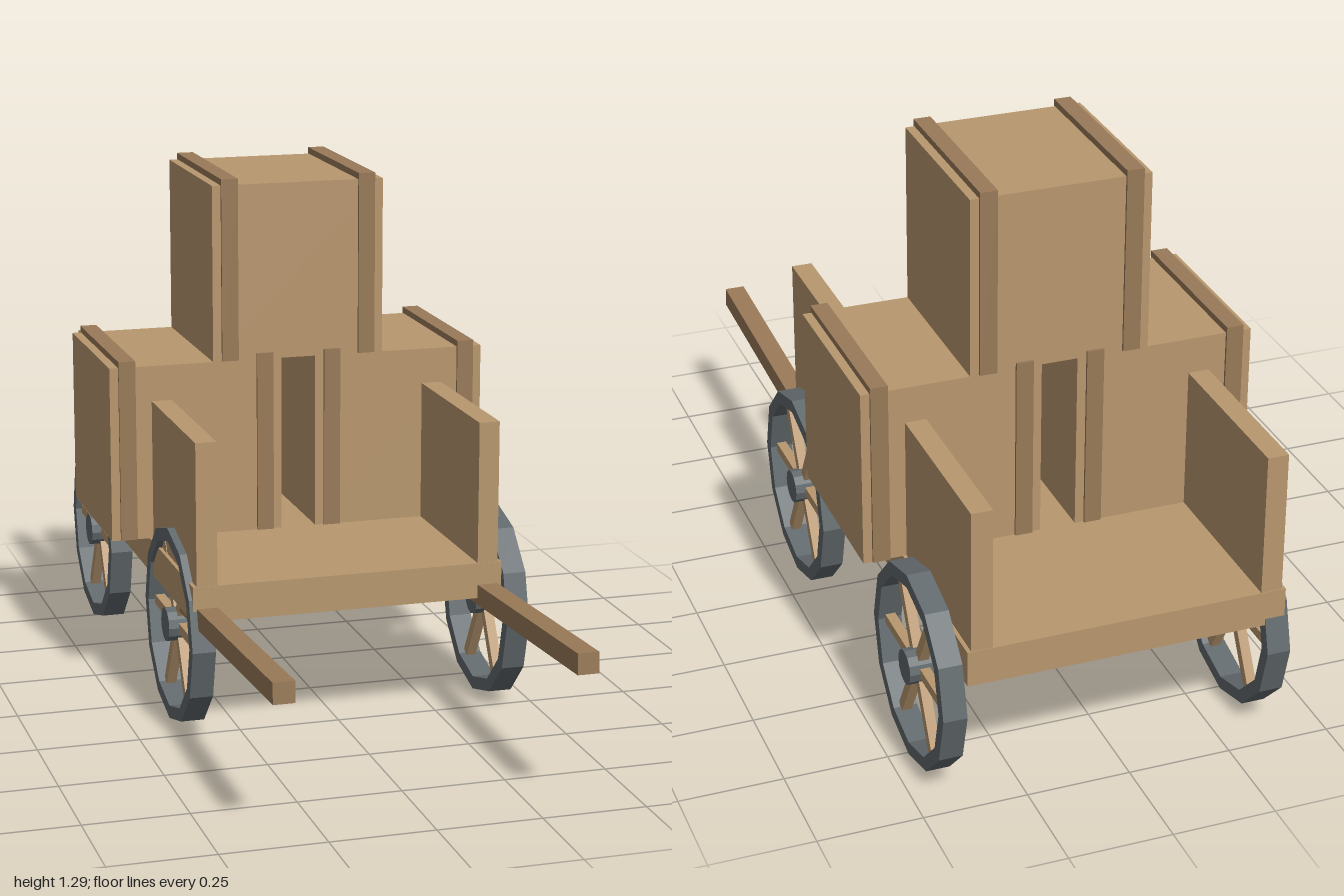
import * as THREE from 'three';

const material = (color) => new THREE.MeshStandardMaterial({ color, flatShading: true });

export function createModel() {
  const cart = new THREE.Group();
  cart.name = 'cart';
  const wood = material(0xb8976f);
  const darkWood = material(0x997a58);
  const iron = material(0x626a6d);

  const add = (parent, name, geometry, mat, x = 0, y = 0, z = 0) => {
    const mesh = new THREE.Mesh(geometry, mat);
    mesh.name = name;
    mesh.position.set(x, y, z);
    parent.add(mesh);
    return mesh;
  };
  const box = (parent, name, mat, w, h, d, x, y, z) =>
    add(parent, name, new THREE.BoxGeometry(w, h, d), mat, x, y, z);

  // Flat bed with a side board along each edge
  const midZ = -0.32;
  box(cart, 'bed', wood, 0.772, 0.088, 1.314, 0, 0.354, midZ);
  for (const side of [-1, 1]) {
    box(cart, 'sideBoard', wood, 0.051, 0.352, 1.31, side * 0.351, 0.572, midZ);

    // Pulling shaft, rising slightly to the front
    const shaft = box(cart, 'shaft', darkWood, 0.051, 0.05, 0.87, side * 0.351, 0.331, 0.565);
    shaft.rotation.x = -0.054;
  }

  // Crates: two on the bed, one stacked on top, each with two battens
  const size = 0.438;
  const crate = (x, y) => {
    const group = new THREE.Group();
    group.name = 'crate';
    group.position.set(x, y, midZ - 0.001);
    box(group, 'crateBody', wood, size, size + 0.002, 0.436, 0, size / 2, 0);
    for (const side of [-1, 1]) {
      box(group, 'batten', darkWood, 0.042, size + 0.017, 0.449, side * 0.176, (size + 0.017) / 2, 0);
    }
    cart.add(group);
  };
  crate(-0.263, 0.398);
  crate(0.263, 0.398);
  crate(0, 0.838);

  // Twelve-sided wheels, built facing z and then turned onto the x axis
  const radius = 0.2425;
  const inner = 0.21;
  const rimWidth = 0.057;
  const ring = (r) => Array.from({ length: 12 }, (_, i) => {
    const a = (i * Math.PI) / 6;
    return new THREE.Vector2(r * Math.cos(a), r * Math.sin(a));
  });
  const rimShape = new THREE.Shape(ring(radius));
  rimShape.holes.push(new THREE.Path(ring(inner)));
  const rimGeometry = new THREE.ExtrudeGeometry(rimShape, { depth: rimWidth, bevelEnabled: false });
  rimGeometry.translate(0, 0, -rimWidth / 2);
  const hubGeometry = new THREE.CylinderGeometry(0.042, 0.042, 0.073, 12).rotateX(Math.PI / 2);
  const spokeGeometry = new THREE.BoxGeometry(0.2, 0.024, 0.024).translate(0.115, 0, 0);

  for (const x of [-0.366, 0.4225]) {
    for (const z of [0.12, -0.757]) {
      const wheel = new THREE.Group();
      wheel.name = 'wheel';
      wheel.position.set(x, radius, z);
      wheel.rotation.y = Math.PI / 2;
      add(wheel, 'rim', rimGeometry, iron);
      add(wheel, 'hub', hubGeometry, iron);
      for (let i = 0; i < 6; i++) {
        add(wheel, 'spoke', spokeGeometry, wood).rotation.z = (i * Math.PI) / 3;
      }
      cart.add(wheel);
    }
  }
  return cart;
}
